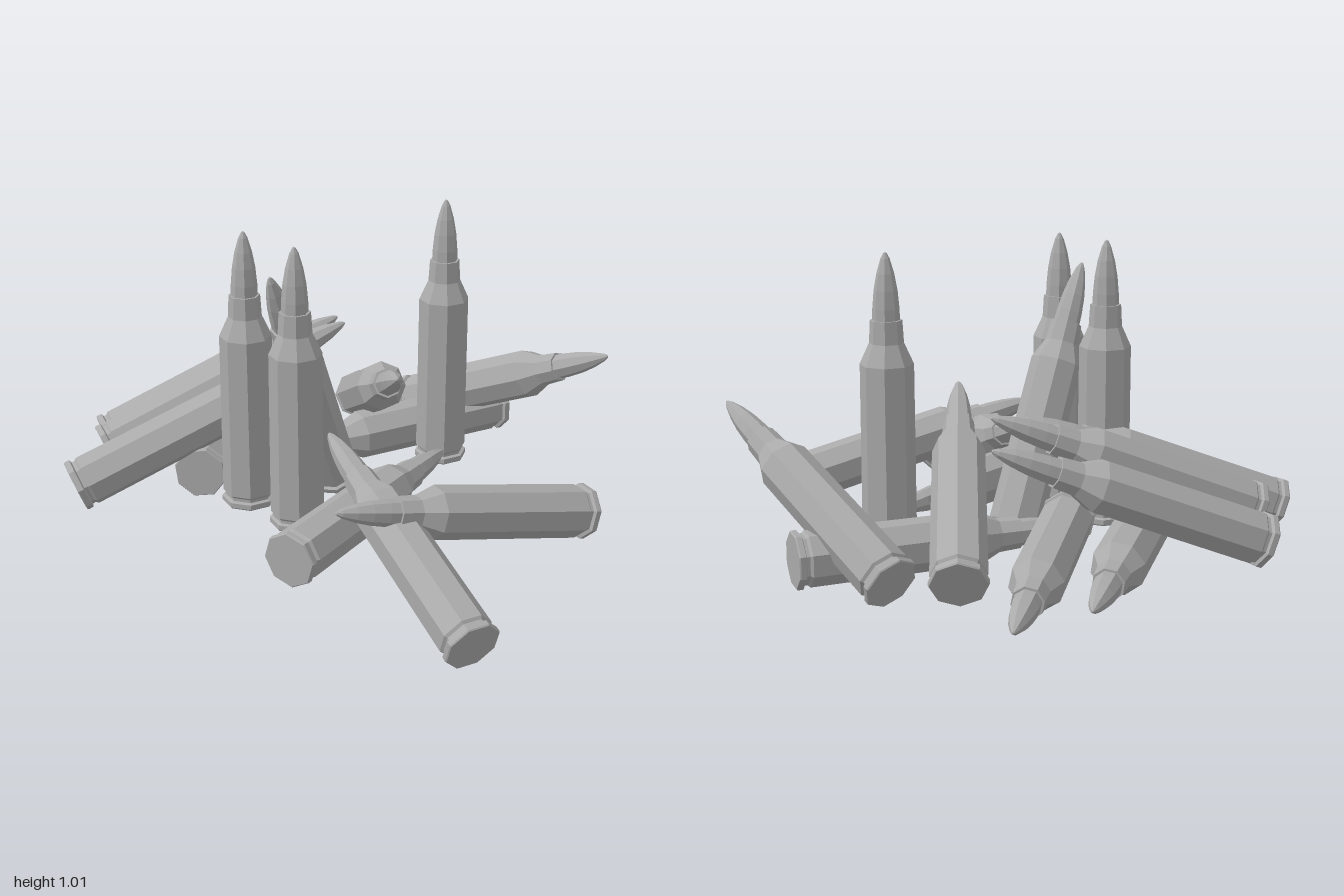
import * as THREE from 'three';

const LENGTH = 0.915;

// Half-profile of one round: [radius, distance from the base]
const CASE_PROFILE = [
  [0, 0], [0.085, 0], [0.088, 0.004], [0.088, 0.02], [0.077, 0.024], [0.077, 0.034],
  [0.0845, 0.042], [0.0825, 0.575], [0.053, 0.64], [0.049, 0.71], [0.04, 0.71],
];
const BULLET_PROFILE = [
  [0.042, 0.705], [0.041, 0.745], [0.036, 0.8], [0.027, 0.85], [0.014, 0.895], [0.005, 0.912], [0, LENGTH],
];

// Base centre and tip of every round in the heap
const ROUNDS = {
  standingLeft: [[0.423, 0.107, -0.105], [0.423, 1.022, -0.105]],
  standingRightBack: [[-0.304, 0.107, -0.106], [-0.304, 1.022, -0.106]],
  standingRightFront: [[-0.235, 0.107, 0.106], [-0.235, 1.022, 0.106]],
  leaning: [[0.03, 0.1, -0.145], [-0.3, 0.925, 0.07]],
  frontLengthwise: [[-0.12, 0.083, 0.965], [-0.12, 0.388, 0.104]],
  frontCrosswise: [[0.56, 0.15, 0.545], [-0.332, 0.36, 0.545]],
  frontDiagonal: [[-0.436, 0.186, 0.45], [0.357, 0.18, 0.01]],
  slopingInner: [[0.385, 0.145, -0.625], [0.108, 0.535, 0.13]],
  slopingOuter: [[0.549, 0.135, -0.52], [0.839, 0.518, 0.25]],
  lyingCrosswise: [[0.775, 0.158, -0.283], [-0.14, 0.158, -0.283]],
  rowBack: [[-0.59, 0.165, -0.65], [0.246, 0.5, -0.542]],
  rowMiddle: [[-0.655, 0.21, -0.477], [0.183, 0.55, -0.362]],
  rowFront: [[-0.812, 0.168, -0.345], [0.029, 0.5, -0.22]],
  backInner: [[-0.42, 0.17, -0.24], [0.13, 0.155, -0.97]],
  backOuter: [[-0.13, 0.17, -0.225], [0.368, 0.136, -0.992]],
};

// Eight-sided turned shape with a flat side facing forward
function turned(profile) {
  const points = profile.map(([r, y]) => new THREE.Vector2(r, y));
  return new THREE.LatheGeometry(points, 8).rotateY(Math.PI / 8);
}

export function createModel() {
  const model = new THREE.Group();
  model.name = 'cartridgeHeap';

  const metal = new THREE.MeshStandardMaterial({ color: 0xaaaaaa });
  metal.name = 'grey metal';
  metal.flatShading = true;

  const caseGeometry = turned(CASE_PROFILE);
  const bulletGeometry = turned(BULLET_PROFILE);
  const up = new THREE.Vector3(0, 1, 0);

  for (const [name, [base, tip]] of Object.entries(ROUNDS)) {
    const round = new THREE.Group();
    round.name = name;

    const casing = new THREE.Mesh(caseGeometry, metal);
    casing.name = 'casing';
    const bullet = new THREE.Mesh(bulletGeometry, metal);
    bullet.name = 'bullet';
    round.add(casing, bullet);

    // Aim the round from its base towards its tip
    round.position.set(...base);
    const direction = new THREE.Vector3(...tip).sub(round.position).normalize();
    round.quaternion.setFromUnitVectors(up, direction);
    model.add(round);
  }
  return model;
}
